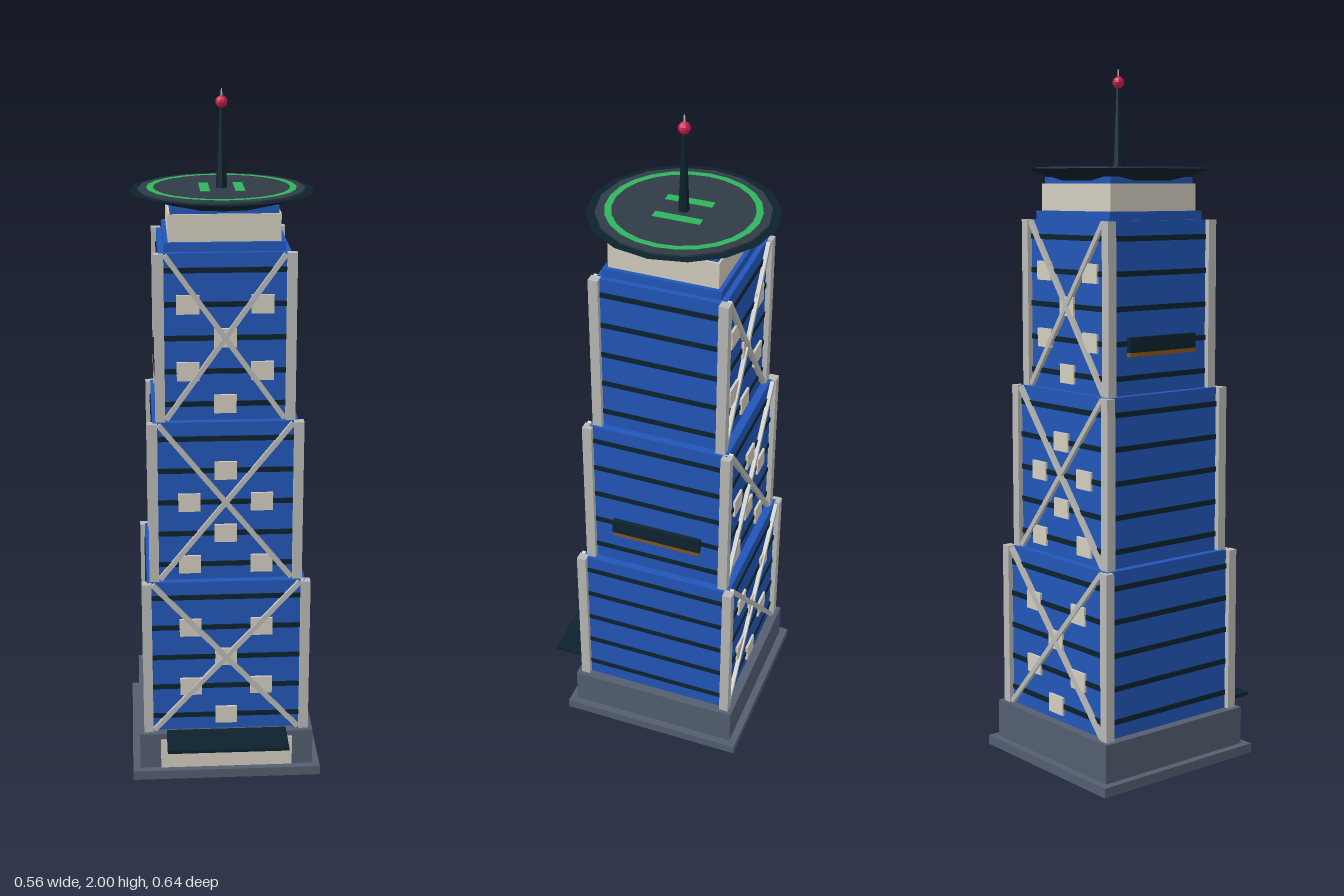
import * as THREE from 'three';

const mat = (name, color) => {
  const m = new THREE.MeshStandardMaterial({ color });
  m.name = name;
  return m;
};

export function createModel() {
  const blue = mat('blue glass', 0x2256b8);
  const dark = mat('dark teal', 0x0c222d);
  const stone = mat('slate stone', 0x535e70);
  const cream = mat('cream', 0xd3cdbf);
  const steel = mat('light steel', 0xb9b9b7);
  const deckGrey = mat('deck grey', 0x2f3b47);
  const green = mat('marking green', 0x2fb45c);
  const red = mat('beacon red', 0xc81e4a);
  const brown = mat('sign brown', 0x8a5518);
  for (const m of [dark, deckGrey, red]) m.flatShading = true;

  const model = new THREE.Group();
  const tower = new THREE.Group();
  tower.name = 'tower';
  tower.position.z = -0.042; // the canopy shifts the tower back
  model.add(tower);

  const add = (name, geo, material, x, y, z, parent = tower) => {
    const mesh = new THREE.Mesh(geo, material);
    mesh.name = name;
    mesh.position.set(x, y, z);
    parent.add(mesh);
    return mesh;
  };
  // Box given by its bottom height
  const box = (name, material, w, h, d, x, y, z, parent) =>
    add(name, new THREE.BoxGeometry(w, h, d), material, x, y + h / 2, z, parent);

  // Base with lobby and entrance canopy
  box('plinth', stone, 0.56, 0.028, 0.56, 0, 0, 0);
  box('podium', stone, 0.516, 0.112, 0.516, 0, 0.028, 0);
  box('lobby', cream, 0.392, 0.092, 0.02, 0, 0.03, 0.254);
  box('canopy', dark, 0.356, 0.01, 0.122, 0, 0.134, 0.303);

  // Three stacked tiers
  const tierH = 0.48;
  for (let t = 0; t < 3; t++) {
    const tier = new THREE.Group();
    tier.name = 'tier' + (t + 1);
    tier.position.y = 0.14 + t * tierH;
    tower.add(tier);
    const half = 0.23 - t * 0.0235;

    box('tierBody', blue, half * 2, tierH, half * 2, 0, 0, 0, tier);
    for (let i = 0; i < 5; i++) {
      const y = 0.048 + i * 0.096;
      box('floorBand', dark, half * 2 + 0.006, 0.015, half * 2 + 0.006, 0, y - 0.0075, 0, tier);
      // Alternating single and paired window panels
      if (i === 4) continue;
      for (const side of [1, -1])
        for (const x of (i + t) % 2 ? [-0.104, 0.104] : [0])
          box('windowPanel', cream, 0.064, 0.054, 0.008, x, y - 0.027, side * (half + 0.003), tier);
    }
    for (const sx of [1, -1])
      for (const sz of [1, -1])
        box('cornerColumn', steel, 0.028, tierH, 0.028, sx * (half + 0.001), 0, sz * (half + 0.001), tier);

    // Cross bracing on front and back
    const w = (half - 0.013) * 2;
    for (const side of [1, -1])
      for (const dir of [1, -1]) {
        const brace = add('crossBrace', new THREE.BoxGeometry(Math.hypot(w, tierH) - 0.01, 0.014, 0.012),
          steel, 0, tierH / 2, side * (half + 0.006), tier);
        brace.rotation.z = dir * Math.atan2(tierH, w);
      }
  }

  // Side signs: right on the middle tier, left on the upper tier
  for (const [side, x, y, len] of [[1, 0.212, 0.727, 0.27], [-1, 0.189, 1.207, 0.24]]) {
    box('signPanel', dark, 0.02, 0.042, len, side * x, y + 0.012, 0);
    box('signTrim', brown, 0.018, 0.012, len, side * x, y, 0);
  }

  // Crown below the landing deck
  box('roofStep', blue, 0.336, 0.025, 0.336, 0, 1.58, 0);
  box('crown', cream, 0.312, 0.077, 0.312, 0, 1.604, 0);
  box('crownCap', blue, 0.3, 0.02, 0.3, 0, 1.68, 0);

  // Flared landing deck
  add('deckRim', new THREE.CylinderGeometry(0.262, 0.165, 0.032, 16), dark, 0, 1.706, 0);
  add('deckSurface', new THREE.CylinderGeometry(0.237, 0.237, 0.006, 16), deckGrey, 0, 1.724, 0);
  const ring = add('deckRing', new THREE.RingGeometry(0.193, 0.212, 24), green, 0, 1.729, 0);
  ring.rotation.x = -Math.PI / 2;
  // Parallel touchdown bars
  for (const s of [1, -1])
    box('touchdownBar', green, 0.027, 0.003, 0.134, s * 0.049, 1.726, 0);

  // Mast with beacon
  add('mast', new THREE.CylinderGeometry(0.006, 0.016, 0.23, 8), dark, 0, 1.84, 0);
  add('beacon', new THREE.SphereGeometry(0.017, 10, 8), red, 0, 1.964, 0);
  add('mastTip', new THREE.CylinderGeometry(0.002, 0.003, 0.025, 6), steel, 0, 1.9875, 0);

  return model;
}
